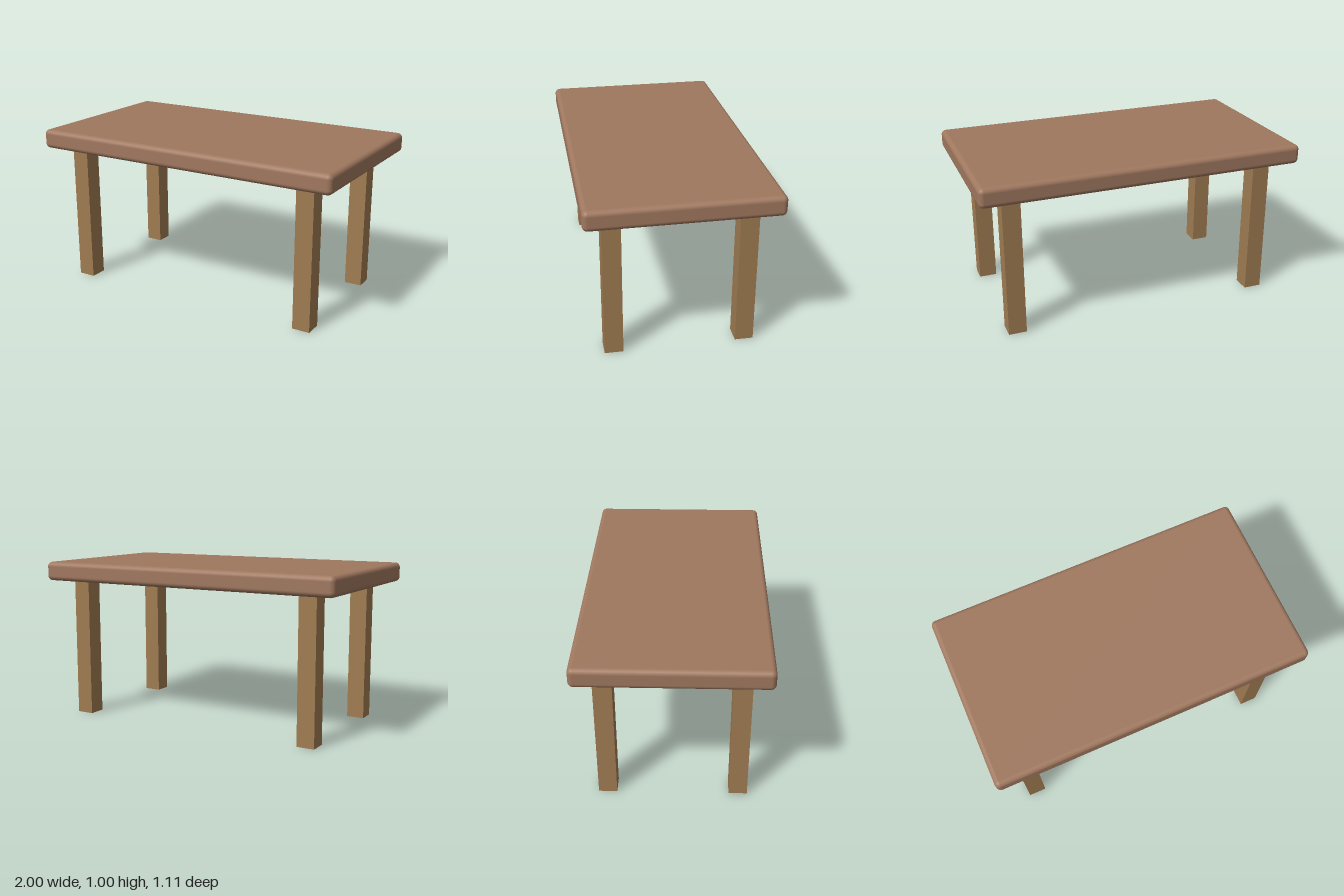
import * as THREE from 'three';
import { RoundedBoxGeometry } from 'three/addons/geometries/RoundedBoxGeometry.js';

export function createModel() {
  const table = new THREE.Group();
  table.name = 'table';

  const topMaterial = new THREE.MeshStandardMaterial({ color: 0xa0785f });
  const legMaterial = new THREE.MeshStandardMaterial({ color: 0xa07c52 });

  // Thick slab with softly rounded edges
  const height = 1, thickness = 0.12;
  const top = new THREE.Mesh(new RoundedBoxGeometry(2, thickness, 1.11, 4, 0.03), topMaterial);
  top.name = 'tableTop';
  top.position.y = height - thickness / 2;
  table.add(top);

  // Four square legs, mirrored to the corners
  const legHeight = height - thickness;
  const legGeometry = new THREE.BoxGeometry(0.11, legHeight, 0.11);
  for (const [zName, z] of [['front', 0.39], ['back', -0.39]]) {
    for (const [xName, x] of [['Left', 0.8], ['Right', -0.8]]) {
      const leg = new THREE.Mesh(legGeometry, legMaterial);
      leg.name = `${zName}${xName}Leg`;
      leg.position.set(x, legHeight / 2, z);
      table.add(leg);
    }
  }

  return table;
}
